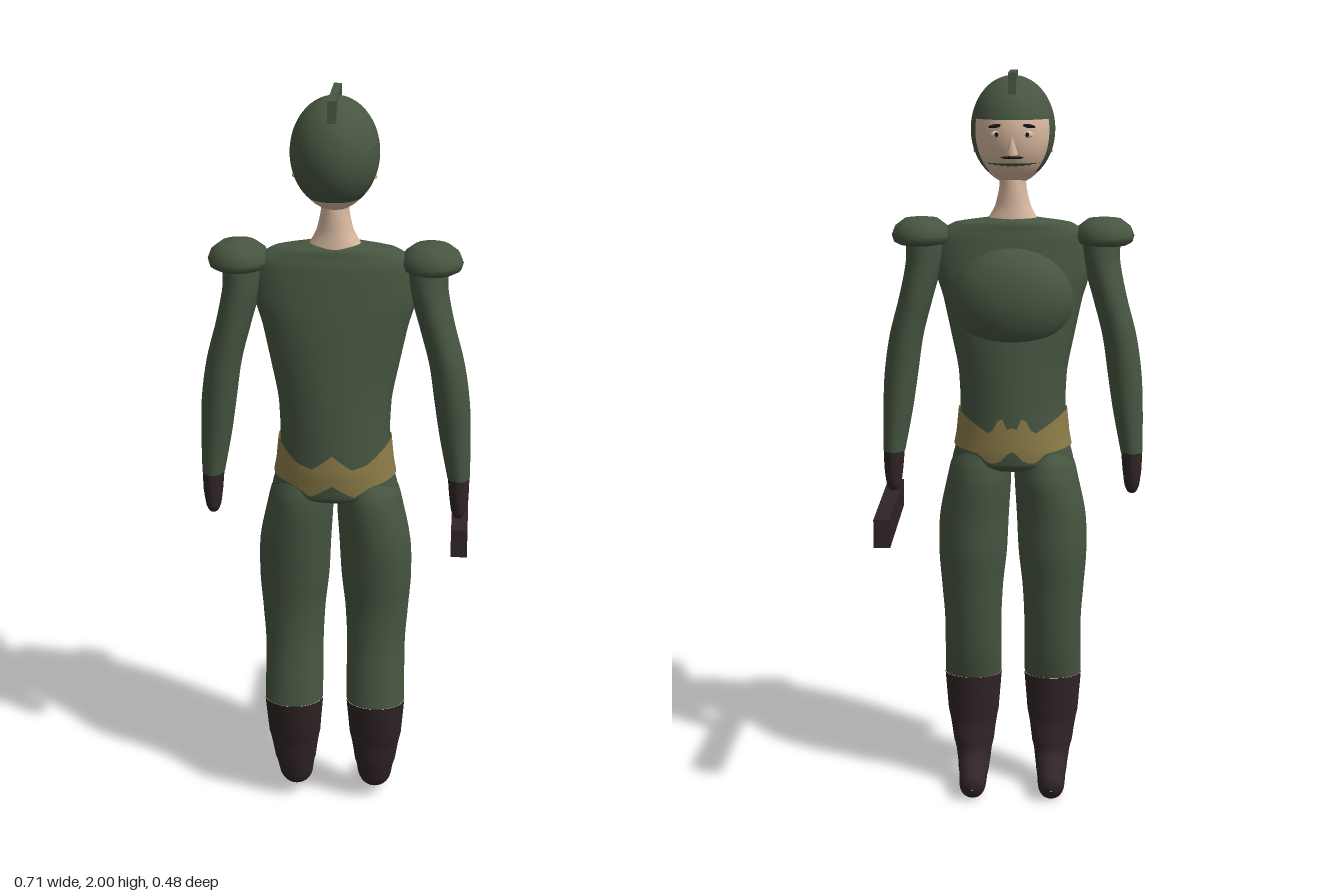
import * as THREE from 'three';

const mat = (name, color, side = THREE.FrontSide) => {
  const m = new THREE.MeshStandardMaterial({ color, side });
  m.name = name;
  return m;
};
const green = mat('uniform green', 0x475641, THREE.DoubleSide);
const dark = mat('dark leather', 0x302426);
const gold = mat('belt gold', 0x8c7c48, THREE.DoubleSide);
const skin = mat('skin', 0xd8b8a0);
const black = mat('facial hair', 0x1c1616);
const white = mat('eye', 0xdccbbb);

// Closed tube of quads: point(i, j) runs down the rows, then around
function skinGrid(rows, cols, point) {
  const pos = [], idx = [];
  for (let i = 0; i <= rows; i++)
    for (let j = 0; j < cols; j++) {
      pos.push(...point(i / rows, (j / cols) * Math.PI * 2));
      if (i === rows) continue;
      const a = i * cols + j, b = i * cols + (j + 1) % cols;
      idx.push(a, b, a + cols, b, b + cols, a + cols);
    }
  const g = new THREE.BufferGeometry();
  g.setAttribute('position', new THREE.Float32BufferAttribute(pos, 3));
  g.setIndex(idx);
  g.computeVertexNormals();
  return g;
}

// Smooth loft through sections [x, y, z, rx, rz, tilt], listed from the top down
function loft(sections, side = 1, cols = 28) {
  const centres = new THREE.CatmullRomCurve3(sections.map(s => new THREE.Vector3(s[0] * side, s[1], s[2])));
  const radii = new THREE.CatmullRomCurve3(sections.map(s => new THREE.Vector3(s[3], s[4], s[5] || 0)));
  return skinGrid((sections.length - 1) * 5, cols, (t, a) => {
    const c = centres.getPoint(t), r = radii.getPoint(t);
    const d = r.y * Math.sin(a);
    return [c.x + r.x * Math.cos(a), c.y - d * Math.sin(r.z), c.z + d * Math.cos(r.z)];
  });
}

// Piecewise linear lookup in rows sorted by ascending first entry
function lookup(rows, v, k) {
  let i = 1;
  while (i < rows.length - 1 && rows[i][0] < v) i++;
  const [a, b] = [rows[i - 1], rows[i]];
  return THREE.MathUtils.lerp(a[k], b[k], THREE.MathUtils.clamp((v - a[0]) / (b[0] - a[0]), 0, 1));
}

export function createModel() {
  const root = new THREE.Group();
  const add = (name, geo, material, parent = root) => {
    const m = new THREE.Mesh(geo, material);
    m.name = name;
    parent.add(m);
    return m;
  };
  const ball = (name, material, p, r, parent) => {
    const m = add(name, new THREE.SphereGeometry(1, 28, 18), material, parent);
    m.position.set(...p);
    m.scale.set(...r);
    return m;
  };

  // Torso
  const torso = [
    [0, 1.618, 0.105, 0.06, 0.045], [0, 1.605, 0.105, 0.155, 0.055], [0, 1.57, 0.107, 0.203, 0.065],
    [0, 1.48, 0.107, 0.208, 0.082], [0, 1.4, 0.107, 0.187, 0.095], [0, 1.3, 0.108, 0.166, 0.105],
    [0, 1.2, 0.11, 0.147, 0.113], [0, 1.1, 0.112, 0.143, 0.118], [0, 1.03, 0.112, 0.15, 0.12],
    [0, 0.99, 0.11, 0.158, 0.118], [0, 0.955, 0.11, 0.166, 0.113], [0, 0.935, 0.11, 0.12, 0.08],
    [0, 0.93, 0.11, 0.002, 0.002],
  ];
  add('torso', loft(torso, 1, 40), green);
  ball('breastplate', green, [0, 1.405, 0.07], [0.165, 0.145, 0.103]);
  add('neck', loft([[0, 1.74, 0.107, 0.034, 0.04], [0, 1.7, 0.107, 0.036, 0.043],
    [0, 1.65, 0.107, 0.047, 0.045], [0, 1.6, 0.107, 0.075, 0.05]]), skin);

  // Belt with jagged edges; rows are [distance from the middle, top, bottom]
  const back = [[0, 1.085, 1.0], [0.33, 1.045, 0.965], [0.6, 1.055, 0.99], [1, 1.1, 1.0]];
  const front = [[0, 1.065, 1.0], [0.1, 1.06, 0.99], [0.2, 1.1, 0.968], [0.38, 1.045, 0.965],
    [0.55, 1.06, 0.99], [1, 1.1, 1.0]];
  const body = torso.map(s => s.slice(1)).reverse();
  add('belt', skinGrid(8, 72, (t, a) => {
    const edge = Math.sin(a) < 0 ? front : back, w = Math.abs(Math.cos(a));
    const y = THREE.MathUtils.lerp(lookup(edge, w, 1), lookup(edge, w, 2), t);
    return [(lookup(body, y, 2) + 0.005) * Math.cos(a), y,
      lookup(body, y, 1) + (lookup(body, y, 3) + 0.005) * Math.sin(a)];
  }), gold);

  // Limbs
  const arm = [
    [0.215, 1.6, 0.105, 0.02, 0.02], [0.23, 1.57, 0.105, 0.055, 0.055], [0.238, 1.5, 0.107, 0.05, 0.062],
    [0.262, 1.4, 0.107, 0.046, 0.067], [0.288, 1.3, 0.107, 0.046, 0.064], [0.303, 1.2, 0.105, 0.046, 0.058],
    [0.313, 1.1, 0.1, 0.041, 0.05], [0.325, 0.98, 0.095, 0.03, 0.042],
  ];
  const hand = [
    [0.325, 0.985, 0.095, 0.029, 0.041], [0.327, 0.93, 0.095, 0.026, 0.04], [0.327, 0.885, 0.095, 0.02, 0.034],
    [0.327, 0.867, 0.095, 0.012, 0.02], [0.327, 0.862, 0.095, 0.001, 0.001],
  ];
  const leg = [
    [0.075, 1.02, 0.11, 0.05, 0.08], [0.087, 0.95, 0.11, 0.082, 0.108], [0.093, 0.9, 0.107, 0.088, 0.113],
    [0.106, 0.8, 0.105, 0.095, 0.105], [0.11, 0.7, 0.1, 0.094, 0.095], [0.112, 0.6, 0.101, 0.085, 0.08],
    [0.111, 0.5, 0.108, 0.079, 0.073], [0.111, 0.4, 0.122, 0.079, 0.07], [0.112, 0.33, 0.135, 0.079, 0.065],
  ];
  const boot = [
    [0.112, 0.33, 0.135, 0.08, 0.066], [0.112, 0.22, 0.127, 0.071, 0.051], [0.111, 0.13, 0.114, 0.056, 0.045, 0.15],
    [0.11, 0.08, 0.098, 0.046, 0.045, 0.7], [0.11, 0.056, 0.05, 0.04, 0.04, 1.2],
    [0.11, 0.041, -0.01, 0.036, 0.04, 1.25], [0.11, 0.039, -0.032, 0.027, 0.03, 1.3],
    [0.11, 0.038, -0.042, 0.002, 0.002, 1.3],
  ];
  const pad = [[0.001, 1.545], [0.06, 1.545], [0.075, 1.553], [0.08, 1.57], [0.07, 1.595], [0.045, 1.614], [0, 1.62]];
  for (const [word, s] of [['left', 1], ['right', -1]]) {
    add(word + 'Arm', loft(arm, s), green);
    add(word + 'Hand', loft(hand, s), dark);
    add(word + 'Leg', loft(leg, s), green);
    add(word + 'Boot', loft(boot, s), dark);
    add(word + 'ShoulderPad', new THREE.LatheGeometry(pad.map(p => new THREE.Vector2(...p)), 16), green)
      .position.set(0.245 * s, 0, 0.105);
  }

  // Head and helmet
  const head = new THREE.Group();
  head.name = 'head';
  root.add(head);
  ball('face', skin, [0, 1.845, 0.115], [0.105, 0.14, 0.114], head);
  const shell = (name, phi, phiLen, theta, thetaLen, material, grow = 1) => {
    const m = add(name, new THREE.SphereGeometry(1, 40, 16, phi, phiLen, theta, thetaLen), material, head);
    m.position.set(0, 1.85, 0.115);
    m.scale.set(0.112 * grow, 0.14 * grow, 0.124 * grow);
  };
  const PI = Math.PI;
  shell('helmetCap', 0, 2 * PI, 0, 1.355, green);
  shell('helmetBack', -PI / 6, PI * 4 / 3, 1.355, 1.12, green);
  shell('chinStrap', PI * 7 / 6, PI * 2 / 3, 2.24, 0.14, green, 0.97);
  const crest = add('crest', new THREE.BoxGeometry(0.02, 0.055, 0.22), green, head);
  crest.position.set(0, 1.9725, 0.12);

  // Facial features
  const nose = add('nose', new THREE.ConeGeometry(0.016, 0.05, 12), skin, head);
  nose.position.set(0, 1.817, -0.001);
  nose.rotation.x = -0.25;
  ball('mouth', black, [0, 1.782, 0.014], [0.03, 0.004, 0.005], head);
  for (const s of [1, -1]) {
    ball('eye', white, [0.04 * s, 1.842, 0.012], [0.015, 0.009, 0.005], head);
    ball('pupil', black, [0.04 * s, 1.842, 0.008], [0.005, 0.006, 0.003], head);
    ball('eyebrow', black, [0.042 * s, 1.864, 0.012], [0.02, 0.005, 0.006], head).rotation.z = -0.15 * s;
    ball('ear', skin, [0.1 * s, 1.793, 0.125], [0.006, 0.006, 0.01], head);
  }

  // Long bar held in the left hand
  add('heldBar', new THREE.BoxGeometry(0.043, 0.075, 0.44), dark).position.set(0.331, 0.8325, -0.02);

  return root;
}
